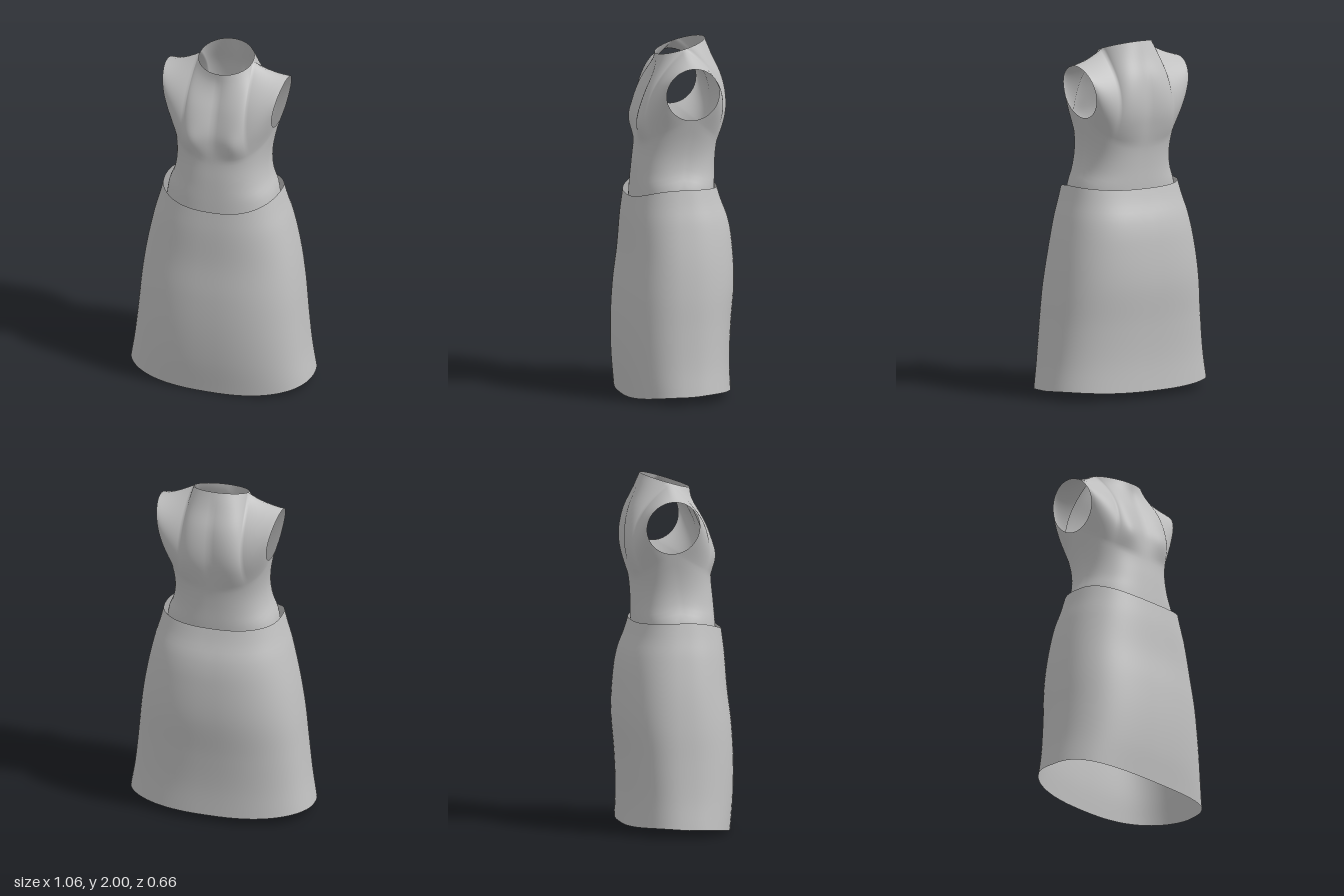
import * as THREE from 'three';
import { mergeVertices } from 'three/addons/utils/BufferGeometryUtils.js';

const V = (x, y, z) => new THREE.Vector3(x, y, z);

// Smooth interpolation through [y, value] pairs
function profile(pairs) {
  const n = pairs.length - 1;
  const slope = (i) => {
    const a = pairs[Math.max(i - 1, 0)], b = pairs[Math.min(i + 1, n)];
    return (b[1] - a[1]) / (b[0] - a[0]);
  };
  return (y) => {
    let i = 0;
    while (i < n - 1 && y > pairs[i + 1][0]) i++;
    const [y0, v0] = pairs[i], [y1, v1] = pairs[i + 1], h = y1 - y0;
    const t = THREE.MathUtils.clamp((y - y0) / h, 0, 1), t2 = t * t, t3 = t2 * t;
    return v0 * (2 * t3 - 3 * t2 + 1) + v1 * (3 * t2 - 2 * t3)
      + slope(i) * h * (t3 - 2 * t2 + t) + slope(i + 1) * h * (t3 - t2);
  };
}

// Point on a rounded cross-section; u runs from the centre line (0) to the side (1)
function ringPoint(body, u, y, isFront) {
  const a = u * Math.PI / 2, e = 2 / body.power, c = body.mid(y);
  const x = u === 0 ? 0 : body.width(y) * Math.pow(Math.sin(a), e);
  const k = u === 1 ? 0 : Math.pow(Math.cos(a), e);
  return V(x, y, c + ((isFront ? body.front : body.back)(y) - c) * k);
}

// Four mirrored quarter panels welded into one smooth cloth surface
function clothGeometry(point, cols, rows) {
  const positions = [], index = [];
  for (const isFront of [true, false]) for (const side of [1, -1]) {
    const start = positions.length / 3;
    for (let j = 0; j <= rows; j++) for (let i = 0; i <= cols; i++) {
      const p = point(i / cols, j, isFront);
      positions.push(p.x * side, p.y, p.z);
    }
    const keep = isFront === (side === 1);
    for (let j = 0; j < rows; j++) for (let i = 0; i < cols; i++) {
      const a = start + j * (cols + 1) + i, b = a + 1, c = a + cols + 1, d = c + 1;
      if (keep) index.push(a, b, d, a, d, c);
      else index.push(a, d, b, a, c, d);
    }
  }
  const g = new THREE.BufferGeometry();
  g.setAttribute('position', new THREE.Float32BufferAttribute(positions, 3));
  g.setIndex(index);
  const welded = mergeVertices(g, 1e-4);
  welded.computeVertexNormals();
  return welded;
}

// Skirt: flared, with a dipped waist and a curved hem
const skirt = {
  power: 2.5,
  width: profile([[0, 0.535], [0.05, 0.528], [0.2, 0.503], [0.4, 0.48], [0.6, 0.46], [0.8, 0.43], [1, 0.387], [1.1, 0.358], [1.19, 0.335]]),
  front: profile([[0, 0.305], [0.2, 0.325], [0.4, 0.33], [0.6, 0.32], [0.8, 0.297], [1, 0.283], [1.125, 0.268], [1.19, 0.26]]),
  back: profile([[0, -0.3], [0.2, -0.295], [0.4, -0.305], [0.65, -0.326], [0.88, -0.315], [1, -0.293], [1.1, -0.255], [1.19, -0.228]]),
  mid: () => 0,
};
const SKIRT_ROWS = 36;
function skirtPoint(u, j, isFront) {
  const k = Math.cos(u * Math.PI / 2);
  const hem = isFront ? 0.045 * (1 - k * k) : 0.045 + 0.04 * k - 0.05 * k * k;
  const waist = isFront ? 1.187 - 0.062 * k * k : 1.187 - 0.015 * k * k;
  return ringPoint(skirt, u, THREE.MathUtils.lerp(hem, waist, j / SKIRT_ROWS), isFront);
}

// Bodice: waist tube below, then panels bounded by armhole, shoulder and neckline
const bodice = {
  power: 2.5,
  width: profile([[1.08, 0.322], [1.19, 0.305], [1.26, 0.277], [1.35, 0.263], [1.45, 0.27], [1.575, 0.296], [1.7, 0.316], [1.8, 0.337], [1.875, 0.355]]),
  front: profile([[1.08, 0.238], [1.18, 0.233], [1.3, 0.224], [1.4, 0.214], [1.5, 0.21], [1.58, 0.2], [1.7, 0.157], [1.8, 0.115], [1.86, 0.1], [1.915, 0.1]]),
  back: profile([[1.08, -0.215], [1.18, -0.222], [1.3, -0.226], [1.4, -0.235], [1.5, -0.255], [1.6, -0.27], [1.7, -0.268], [1.8, -0.25], [1.9, -0.212], [2, -0.18]]),
  mid: profile([[1.08, 0], [1.3, -0.01], [1.575, -0.05], [1.9, -0.05]]),
};
const LOWER = 16, UPPER = 24, UNDERARM = 1.575;
const shoulder = new THREE.QuadraticBezierCurve3(V(0.157, 1.9575, -0.04), V(0.25, 1.9, -0.04), V(0.355, 1.875, -0.05));

const baseY = (u) => 1.42 + (UNDERARM - 1.42) * u * u;
const basePoint = (u, isFront) => ringPoint(bodice, u, baseY(u), isFront);

function topPoint(u, isFront) {
  if (u > 0.5) return shoulder.getPoint(u * 2 - 1);
  const a = u * Math.PI, z = -0.04 + (isFront ? 0.14 : -0.14) * Math.cos(a);
  return V(0.157 * Math.sin(a), 1.915 + (0.1 - z) / 0.28 * 0.085, z);
}
function armholePoint(v, isFront) {
  const a = v * Math.PI, y = 1.725 - 0.15 * Math.cos(a);
  return V(bodice.width(y), y, -0.05 + (isFront ? 0.15 : -0.15) * Math.sin(a));
}
function centrePoint(v, isFront) {
  const y = THREE.MathUtils.lerp(baseY(0), isFront ? 1.915 : 2, v);
  return V(0, y, (isFront ? bodice.front : bodice.back)(y));
}

function bodicePoint(u, j, isFront) {
  let p;
  if (j <= LOWER) {
    p = ringPoint(bodice, u, THREE.MathUtils.lerp(1.08, baseY(u), j / LOWER), isFront);
  } else {
    // Blend the four boundary curves, with a little fullness in the middle
    const v = (j - LOWER) / UPPER;
    const add = (q, s) => p.addScaledVector(q, s);
    p = V(0, 0, 0);
    add(basePoint(u, isFront), 1 - v);
    add(topPoint(u, isFront), v);
    add(centrePoint(v, isFront), 1 - u);
    add(armholePoint(v, isFront), u);
    add(basePoint(0, isFront), -(1 - u) * (1 - v));
    add(basePoint(1, isFront), -u * (1 - v));
    add(topPoint(0, isFront), -(1 - u) * v);
    add(topPoint(1, isFront), -u * v);
    const full = Math.sin(Math.PI * u) * Math.sin(Math.PI * v);
    p.z += (isFront ? 0.018 : -0.015) * full;
  }
  // Soft bust shaping
  if (isFront) p.z += 0.014 * Math.exp(-(((p.x - 0.13) / 0.06) ** 2) - ((p.y - 1.53) / 0.07) ** 2);
  return p;
}

export function createModel() {
  const cloth = new THREE.MeshStandardMaterial({ color: 0xc0c0c0, side: THREE.DoubleSide });
  cloth.name = 'grey cloth';
  const model = new THREE.Group();
  model.name = 'dress';
  const addPart = (name, geometry) => {
    const mesh = new THREE.Mesh(geometry, cloth);
    mesh.name = name;
    model.add(mesh);
  };
  addPart('skirt', clothGeometry(skirtPoint, 20, SKIRT_ROWS));
  addPart('bodice', clothGeometry(bodicePoint, 24, LOWER + UPPER));
  return model;
}
